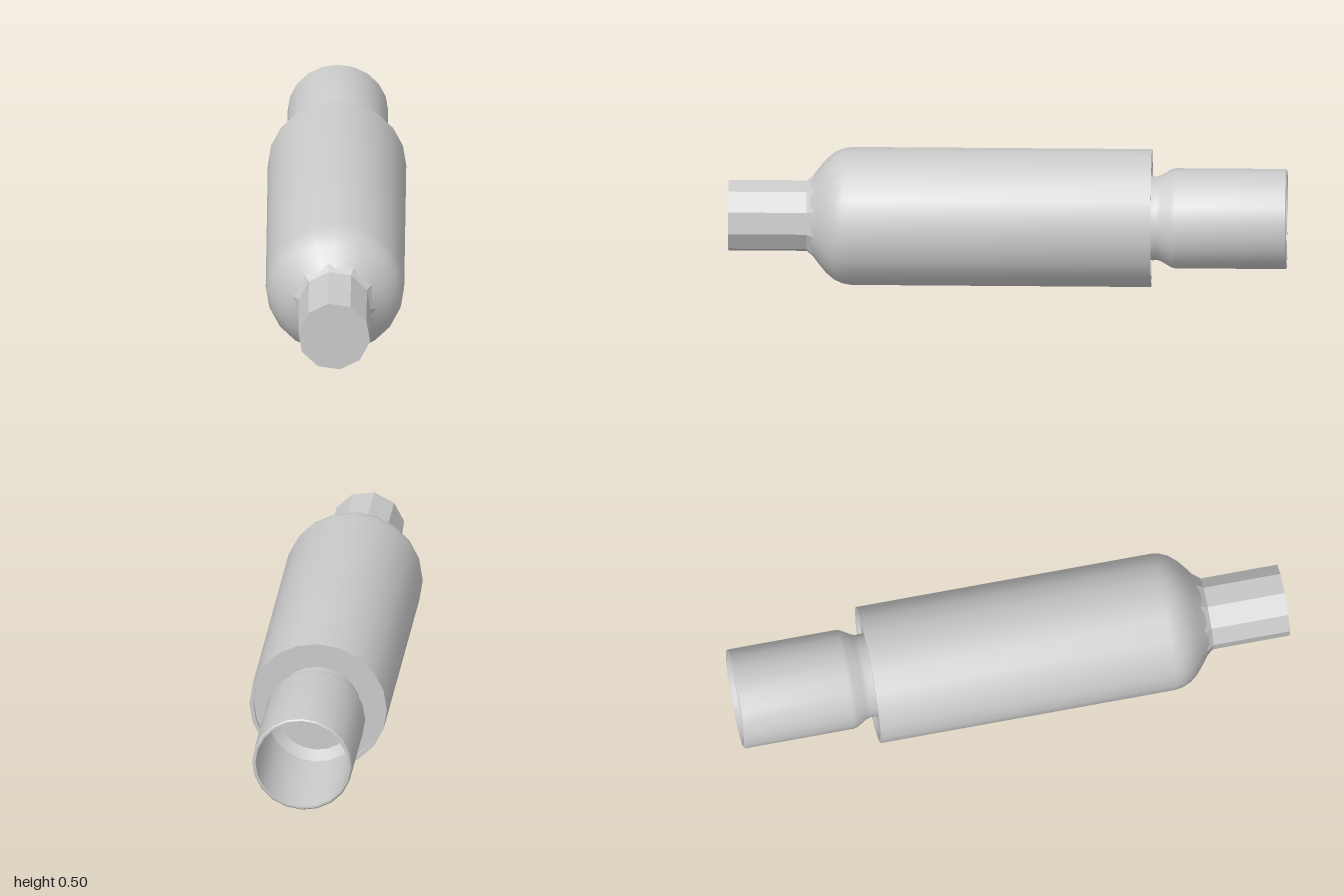
import * as THREE from 'three';
import { toCreasedNormals } from 'three/addons/utils/BufferGeometryUtils.js';

const SIDES = 20;
const AXIS_HEIGHT = 0.25;

export function createModel() {
  const group = new THREE.Group();
  const smooth = new THREE.MeshStandardMaterial({ color: 0xcccccc });
  const flat = new THREE.MeshStandardMaterial({ color: 0xcccccc, flatShading: true });

  const add = (name, geometry, material) => {
    geometry.rotateX(Math.PI / 2); // turn the y axis of the solid onto z
    const mesh = new THREE.Mesh(geometry, material);
    mesh.name = name;
    mesh.position.y = AXIS_HEIGHT;
    group.add(mesh);
  };

  // Profiles are [radius, z] pairs
  const turned = (name, profile) => {
    const points = profile.map(([r, z]) => new THREE.Vector2(r, z));
    add(name, toCreasedNormals(new THREE.LatheGeometry(points, SIDES), 0.6), smooth);
  };

  // Main barrel: recessed back face, thin lip, rounded nose
  turned('barrel', [
    [0, -0.5], [0.234, -0.5], [0.234, -0.515], [0.248, -0.515],
    [0.248, 0.56], [0.243, 0.59], [0.23, 0.62], [0.205, 0.65],
    [0.175, 0.675], [0.155, 0.69], [0.118, 0.72],
  ]);

  // Open socket at the back, with its necked root
  turned('socket', [
    [0, -0.58], [0.14, -0.58], [0.168, -0.62], [0.168, -1], [0.175, -1], [0.18, -0.995],
    [0.18, -0.6], [0.176, -0.585], [0.155, -0.55], [0.15, -0.535], [0.152, -0.48],
  ]);

  // Ten-sided drive peg and its flared root
  const prism = (name, rFront, rBack, zFront, zBack) => {
    const geometry = new THREE.CylinderGeometry(
      rFront, rBack, zFront - zBack, 10, 1, false, THREE.MathUtils.degToRad(9.2));
    geometry.translate(0, (zFront + zBack) / 2, 0);
    add(name, geometry, flat);
  };
  prism('drivePeg', 0.13, 0.13, 1, 0.715);
  prism('pegFlare', 0.13, 0.15, 0.72, 0.695);

  return group;
}
